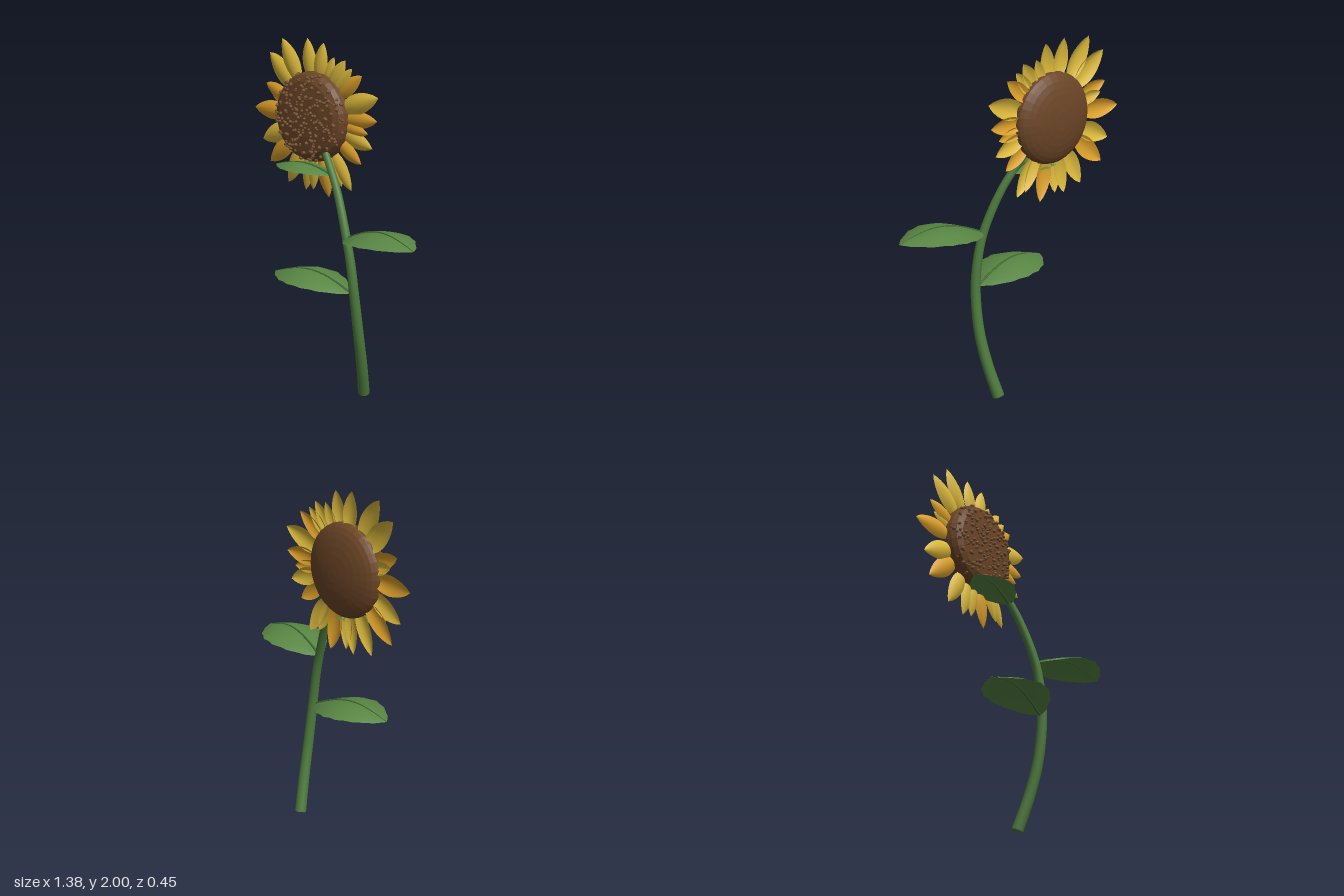
import * as THREE from 'three';
import { mergeGeometries } from 'three/addons/utils/BufferGeometryUtils.js';

const V = (x, y, z) => new THREE.Vector3(x, y, z);

function makeMaterial(name, color, extra = {}) {
  const m = new THREE.MeshStandardMaterial({ color, ...extra });
  m.name = name;
  return m;
}

// Curved sheet: place(t, s) with t from 0 (base) to 1 (tip), s from -1 to 1 across
function sheet(rows, cols, place) {
  const g = new THREE.PlaneGeometry(2, 1, cols, rows);
  const p = g.attributes.position;
  for (let i = 0; i < p.count; i++) {
    const v = place(p.getY(i) + 0.5, p.getX(i));
    p.setXYZ(i, v.x, v.y, v.z);
  }
  g.computeVertexNormals();
  return g;
}

// Tube whose radius runs from r0 to r1
function taperedTube(curve, n, r0, r1, sides) {
  const g = new THREE.TubeGeometry(curve, n, 1, sides, false);
  const p = g.attributes.position;
  const v = V(0, 0, 0);
  for (let i = 0; i < p.count; i++) {
    const t = Math.floor(i / (sides + 1)) / n;
    const c = curve.getPointAt(t);
    v.fromBufferAttribute(p, i).sub(c).multiplyScalar(r0 + (r1 - r0) * t).add(c);
    p.setXYZ(i, v.x, v.y, v.z);
  }
  return g;
}

export function createModel() {
  const root = new THREE.Group();
  root.name = 'sunflower';
  const double = { side: THREE.DoubleSide };
  const stemGreen = makeMaterial('stem green', 0x4c7a3c);
  const leafGreen = makeMaterial('leaf green', 0x588543, double);
  const veinGreen = makeMaterial('vein green', 0x3d662f);
  const yellow = makeMaterial('petal yellow', 0xdcb93c, double);
  const orange = makeMaterial('petal orange', 0xdca02a, double);
  const brown = makeMaterial('disc brown', 0x6b4526, { flatShading: true });
  const seedBrown = makeMaterial('seed brown', 0x775232);

  const add = (name, geometry, material, parent = root) => {
    const m = new THREE.Mesh(geometry, material);
    m.name = name;
    parent.add(m);
    return m;
  };

  // Stem: bent, tapering, with closed ends
  const stemCurve = new THREE.CatmullRomCurve3([
    V(0.185, 0.012, -0.137), V(0.217, 0.2, -0.08), V(0.234, 0.4, -0.03),
    V(0.228, 0.65, 0.004), V(0.205, 0.82, 0.008), V(0.165, 0.97, 0.002),
    V(0.065, 1.2, -0.035), V(-0.06, 1.385, -0.08),
  ]);
  const r0 = 0.034, r1 = 0.021;
  add('stem', taperedTube(stemCurve, 40, r0, r1, 12), stemGreen);
  for (const [t, r, dir] of [[0, r0, -1], [1, r1, 1]]) {
    const cap = add('stemEnd', new THREE.CircleGeometry(r, 12), stemGreen);
    cap.position.copy(stemCurve.getPointAt(t));
    cap.quaternion.setFromUnitVectors(V(0, 0, 1), stemCurve.getTangentAt(t).multiplyScalar(dir));
  }

  // Leaves: arched blades with toothed edges and a raised midrib
  const leaves = [
    ['leftLeaf', V(0.165, 0.955, 0.005), V(0.69, 1.0, 0.07), 0.18, 0.07],
    ['lowerRightLeaf', V(0.21, 0.65, 0.005), V(-0.315, 0.685, 0.07), 0.18, 0.07],
    ['upperRightLeaf', V(0.01, 1.275, -0.055), V(-0.367, 1.295, 0.0), 0.122, 0.04],
  ];
  for (const [name, base, tip, width, arch] of leaves) {
    const leaf = new THREE.Group();
    leaf.name = name;
    root.add(leaf);
    const side = V(tip.z - base.z, 0, base.x - tip.x).normalize();
    const rows = 12;
    const place = (t, s) => {
      const tooth = Math.round(t * rows) % 2 ? 1.03 : 0.97;
      const w = width * Math.pow(Math.max(0, Math.sin(Math.PI * t)), 0.8);
      const p = base.clone().lerp(tip, t).addScaledVector(side, s * w * tooth);
      p.y += arch * Math.sin(Math.PI * t) - 0.25 * w * s * s;
      return p;
    };
    add('blade', sheet(rows, 6, place), leafGreen, leaf);
    const rib = new THREE.CatmullRomCurve3([0, 0.2, 0.4, 0.6, 0.8, 1].map((t) => place(t, 0)));
    add('midrib', taperedTube(rib, 14, 0.008, 0.002, 6), veinGreen, leaf);
  }

  // Flower head, tilted neither way, facing +z
  const head = new THREE.Group();
  head.name = 'flowerHead';
  head.position.set(-0.201, 1.568, -0.138);
  root.add(head);

  // Disc: rounded back, flatter front
  const front = [[0.256, 0], [0.252, 0.03], [0.238, 0.058], [0.205, 0.076], [0.11, 0.086], [0, 0.09]];
  const profile = [];
  for (let i = 0; i < 8; i++) {
    const a = (i / 8) * Math.PI / 2;
    profile.push(new THREE.Vector2(0.256 * Math.sin(a), -0.087 * Math.cos(a)));
  }
  front.forEach(([r, z]) => profile.push(new THREE.Vector2(r, z)));
  add('disc', new THREE.LatheGeometry(profile, 32).rotateX(Math.PI / 2), brown, head);

  // Seeds: small beads spiralling over the front of the disc
  const frontHeight = (r) => {
    const i = front.findIndex((p) => p[0] <= r);
    if (i < 1) return front[0][1];
    const [ra, za] = front[i - 1], [rb, zb] = front[i];
    return za + (zb - za) * (r - ra) / (rb - ra);
  };
  const seeds = [];
  const count = 230;
  for (let i = 0; i < count; i++) {
    const r = 0.253 * Math.sqrt((i + 0.5) / count);
    const a = i * 2.39996 + 0.25 * Math.sin(i * 7.3);
    const size = 0.0085 + 0.0025 * Math.sin(i * 3.7);
    const seed = new THREE.SphereGeometry(size, 6, 5);
    seed.scale(1, 1, 1.3);
    seed.translate(r * Math.cos(a), r * Math.sin(a), frontHeight(r) + 0.003);
    seeds.push(seed);
  }
  add('seeds', mergeGeometries(seeds), seedBrown, head);

  // Petals: tip x, tip y, half width, and 1 for orange
  const petals = [
    [-0.69, 1.563, 0.056, 1], [-0.59, 1.717, 0.045, 1], [-0.563, 1.896, 0.062, 0],
    [-0.458, 1.985, 0.06, 0], [-0.267, 2.0, 0.052, 0], [-0.14, 1.985, 0.05, 0],
    [-0.066, 1.91, 0.036, 0], [0.02, 1.9, 0.045, 0], [0.135, 1.827, 0.045, 1],
    [0.257, 1.72, 0.058, 0], [0.246, 1.59, 0.048, 1], [0.188, 1.515, 0.036, 1],
    [0.214, 1.436, 0.05, 0], [0.14, 1.34, 0.045, 1], [0.066, 1.177, 0.052, 0],
    [0.0, 1.19, 0.042, 0], [-0.103, 1.113, 0.054, 1], [-0.22, 1.14, 0.045, 0],
    [-0.283, 1.129, 0.045, 0], [-0.415, 1.155, 0.052, 0], [-0.569, 1.256, 0.056, 1],
    [-0.622, 1.383, 0.056, 0], [-0.55, 1.66, 0.036, 0], [0.07, 1.86, 0.036, 0],
  ];
  petals.forEach(([x, y, width, isOrange], i) => {
    const dx = x - head.position.x, dy = y - head.position.y;
    const length = Math.hypot(dx, dy);
    const start = 0.2;
    const g = sheet(10, 6, (t, s) => {
      const w = width * Math.pow(Math.max(0, Math.sin(Math.PI * Math.pow(t, 0.9))), 0.75);
      const bulge = 0.4 * w * (1 - s * s);
      return V(start + (length - start) * t, s * w, bulge - 0.008 * t);
    });
    const petal = add('petal', g, isOrange ? orange : yellow, head);
    petal.rotation.z = Math.atan2(dy, dx);
    petal.position.z = -0.009 + 0.006 * (i % 2);
  });

  return root;
}
